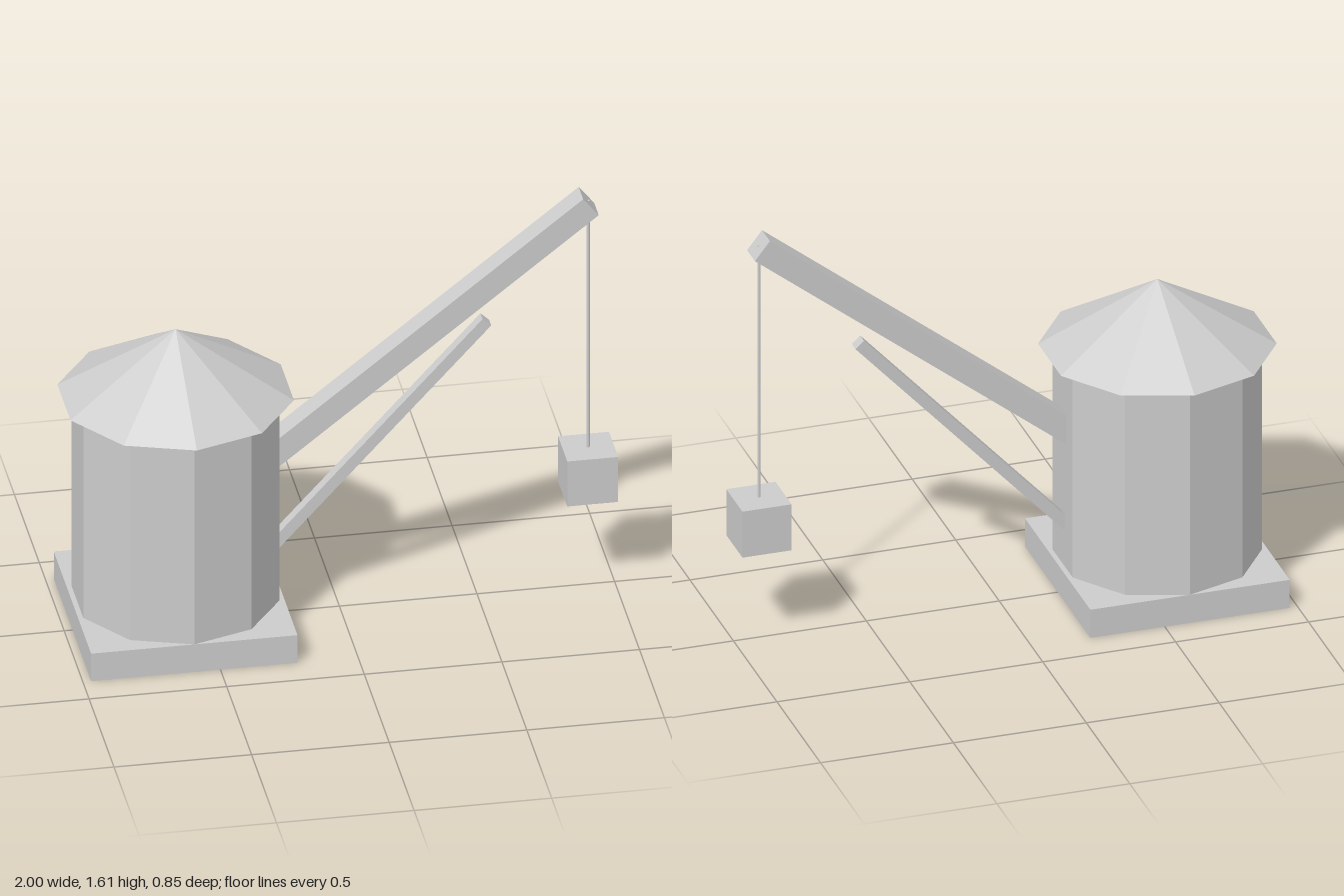
import * as THREE from 'three';

const TOWER_X = -0.595;

export function createModel() {
  const crane = new THREE.Group();
  crane.name = 'craneTower';
  const grey = new THREE.MeshStandardMaterial({ color: 0xcccccc });
  grey.name = 'plain grey';
  grey.flatShading = true;

  const add = (name, geometry, x, y, z = 0) => {
    const mesh = new THREE.Mesh(geometry, grey);
    mesh.name = name;
    mesh.position.set(x, y, z);
    crane.add(mesh);
    return mesh;
  };

  // Square beam ending at (x, y), running down into the tower wall
  const addBeam = (name, x, y, degrees, thickness) => {
    const angle = THREE.MathUtils.degToRad(degrees);
    const length = (x + 0.3) / Math.cos(angle);
    const geometry = new THREE.BoxGeometry(length, thickness, thickness);
    geometry.translate(-length / 2, 0, 0);
    add(name, geometry, x, y).rotation.z = angle;
  };

  // Square plinth, ten-sided tower and overhanging pointed roof
  add('base', new THREE.BoxGeometry(0.75, 0.113, 0.75), TOWER_X, 0.0565);
  add('tower', new THREE.CylinderGeometry(0.375, 0.375, 0.83, 10), TOWER_X, 0.525);
  add('roof', new THREE.ConeGeometry(0.427, 0.26, 10), TOWER_X, 1.07);

  // Jib and the thinner strut below it
  addBeam('jib', 0.906, 1.575, 38.3, 0.091);
  addBeam('strut', 0.532, 1.126, 47.4, 0.043);

  // Rope through the jib tip, with the hanging load
  add('rope', new THREE.CylinderGeometry(0.006, 0.006, 1.03, 8), 0.904, 1.063);
  add('load', new THREE.BoxGeometry(0.185, 0.185, 0.185), 0.904, 0.472);

  return crane;
}
